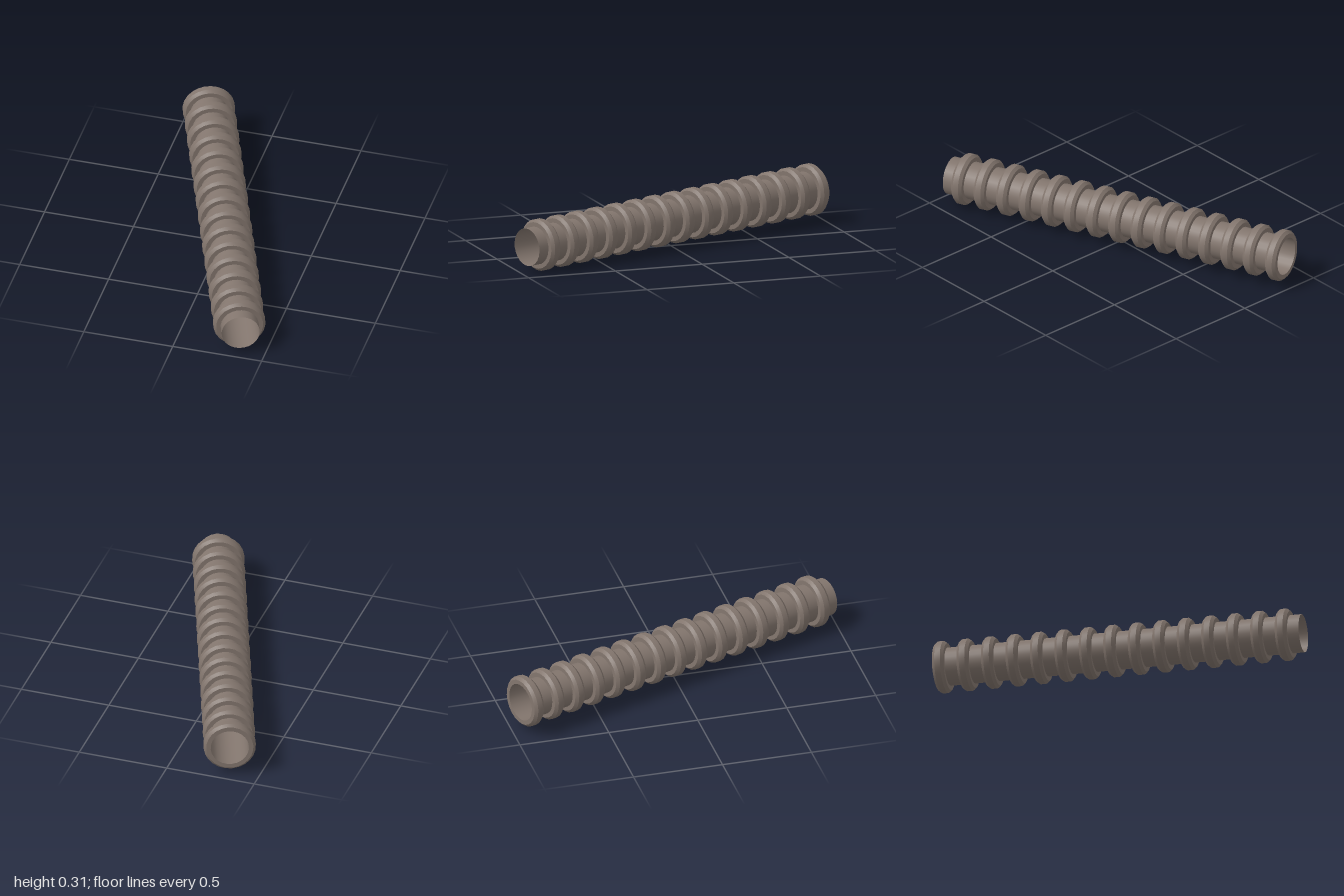
import * as THREE from 'three';
import { toCreasedNormals } from 'three/addons/utils/BufferGeometryUtils.js';

const SIDES = 24;
const TUBE_R = 0.104;
const RING_COUNT = 15;
const PITCH = 0.137;
const HALF = 0.032; // half the width of a ring

// turned surface round the local y axis, from [radius, height] pairs
function turned(profile) {
  const points = profile.map(([r, y]) => new THREE.Vector2(r, y));
  return toCreasedNormals(new THREE.LatheGeometry(points, SIDES), 0.4);
}

export function createModel() {
  const group = new THREE.Group();
  const greyBrown = new THREE.MeshStandardMaterial({ color: 0x82756d, side: THREE.DoubleSide });
  greyBrown.name = 'greyBrown';

  // axis of the pipe, from the back end to the front end
  const back = new THREE.Vector3(-0.345, 0.178, -0.953);
  const front = new THREE.Vector3(0.372, 0.145, 0.963);
  const axis = front.clone().sub(back);
  const length = axis.length();

  const pipe = new THREE.Group();
  pipe.name = 'ribbedPipe';
  pipe.position.copy(back);
  pipe.quaternion.setFromUnitVectors(new THREE.Vector3(0, 1, 0), axis.normalize());
  group.add(pipe);

  // thin open tube
  const tube = new THREE.Mesh(turned([[TUBE_R, 0], [TUBE_R, length]]), greyBrown);
  tube.name = 'tube';
  pipe.add(tube);

  // bevelled rings, the first flush with the back end
  const ringGeometry = turned([
    [TUBE_R, -HALF], [0.128, -HALF], [0.142, -0.016],
    [0.142, 0.016], [0.128, HALF], [TUBE_R, HALF],
  ]);
  for (let i = 0; i < RING_COUNT; i++) {
    const ring = new THREE.Mesh(ringGeometry, greyBrown);
    ring.name = `ring${i + 1}`;
    ring.position.y = HALF + i * PITCH;
    pipe.add(ring);
  }
  return group;
}
